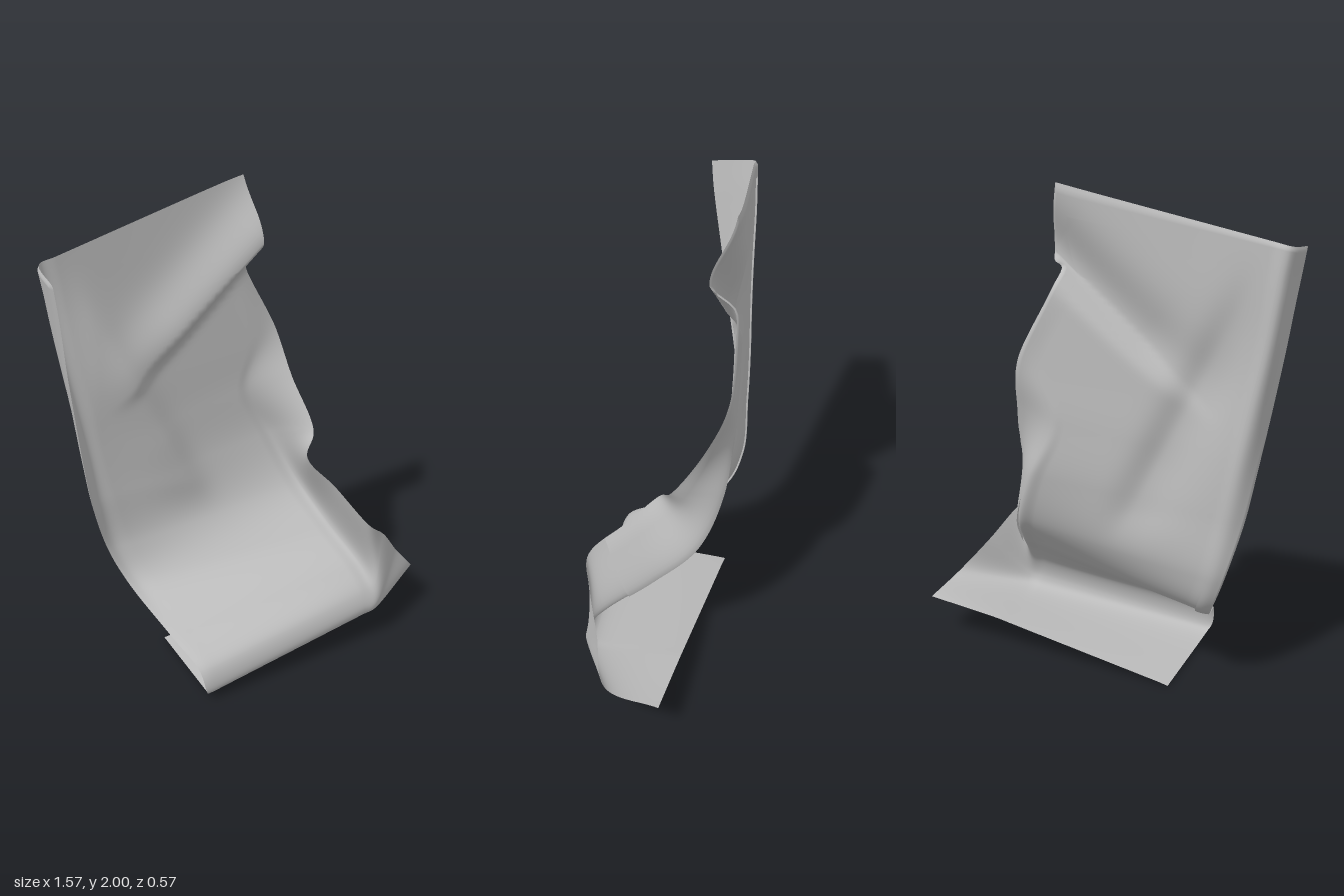
import * as THREE from 'three';

// Guide curves running down the sheet, one point per station.
const guides = {
  leftEdge: [[-.785, 1.78, -.07], [-.77, 1.68, -.08], [-.755, 1.58, -.095], [-.73, 1.4, -.125], [-.69, 1.15, -.165],
    [-.655, .95, -.2], [-.615, .74, -.23], [-.545, .5, -.25], [-.487, .35, -.19], [-.43, .22, .06], [-.402, .15, .24],
    [-.388, .06, .272], [-.37, .03, .25], [-.32, 0, -.22]],
  leftFold: [[-.755, 1.805, -.25], [-.735, 1.7, -.255], [-.72, 1.6, -.258], [-.69, 1.42, -.26], [-.64, 1.17, -.265],
    [-.6, .97, -.27], [-.56, .75, -.27], [-.5, .5, -.265], [-.445, .35, -.195], [-.4, .225, .07], [-.37, .155, .245],
    [-.36, .06, .272], [-.34, .033, .25], [-.28, .008, -.213]],
  rightFold: [[.06, 1.987, -.27], [.09, 1.8, -.27], [.08, 1.705, -.27], [.06, 1.64, -.27], [.2, 1.3, -.27],
    [.15, 1.08, -.27], [.25, .85, -.25], [.332, .63, -.16], [.383, .48, .01], [.43, .35, .19], [.445, .265, .262],
    [.455, .19, .28], [.46, .148, .255], [.46, .143, -.115]],
  rightEdge: [[.12, 2, -.27], [.153, 1.82, -.27], [.152, 1.705, -.27], [.12, 1.67, -.27], [.28, 1.32, -.27],
    [.315, 1.12, -.195], [.34, .91, -.06], [.27, .83, 0], [.33, .73, .12], [.4, .6, .268], [.5, .51, .245],
    [.61, .37, .2], [.74, .22, .15], [.78, .18, -.07]],
};

const smooth = THREE.MathUtils.smoothstep;

// Height of a crease from a to b, with its own falloff width on each side.
function crease(x, y, a, b, heightA, heightB, widthUp, widthDown, openStart) {
  const dx = b[0] - a[0], dy = b[1] - a[1], len = Math.hypot(dx, dy);
  const k = ((x - a[0]) * dx + (y - a[1]) * dy) / (len * len);
  const d = ((x - a[0]) * dy - (y - a[1]) * dx) / len;
  const ends = (openStart ? 1 : smooth(k, -.1, .4)) * (1 - smooth(k, .6, 1.2));
  const w = d > 0 ? widthUp : widthDown;
  const h = THREE.MathUtils.lerp(heightA, heightB, THREE.MathUtils.clamp(k, 0, 1));
  return h * ends * Math.exp(-(d * d) / (w * w));
}

// Grid triangles for the cells that the filter keeps.
function gridIndex(cols, rows, keep) {
  const n = cols + 1, index = [];
  for (let j = 0; j < rows; j++) for (let i = 0; i < cols; i++) {
    const a = j * n + i, b = a + n;
    if (keep(i, j)) index.push(a, b, a + 1, b, b + 1, a + 1);
  }
  return index;
}

function sheetGeometry(cols, rows) {
  const curves = Object.values(guides).map(points =>
    new THREE.CatmullRomCurve3(points.map(p => new THREE.Vector3(...p))));
  const positions = [];
  for (let j = 0; j <= rows; j++) {
    const [le, lf, rf, re] = curves.map(c => c.getPoint(j / rows));
    const across = [.08, .3, .5, .7, .92].map(k => lf.clone().lerp(rf, k));
    const section = new THREE.CatmullRomCurve3([le, lf, ...across, rf, re]);
    for (let i = 0; i <= cols; i++) {
      const p = section.getPoint(i / cols);
      // Dents pressed into the upright panel
      const wall = smooth(p.y, .5, .75) * smooth(p.x, -.75, -.55) * (1 - smooth(p.z, -.25, -.15));
      p.z += wall * (crease(p.x, p.y, [.16, 1.74], [-.42, 1.23], .1, .05, .14, .045, true)
        + crease(p.x, p.y, [-.08, .55], [-.6, 1.6], .04, .045, .08, .15, false));
      positions.push(p.x, p.y, p.z);
    }
  }
  const geometry = new THREE.BufferGeometry();
  geometry.setAttribute('position', new THREE.Float32BufferAttribute(positions, 3));
  geometry.setIndex(gridIndex(cols, rows, () => true));
  geometry.computeVertexNormals();
  return geometry;
}

// Folded-over border lying just behind the top and side edges.
function hemGeometry(sheet, cols, rows) {
  const hem = sheet.clone();
  const { position, normal } = hem.attributes;
  const p = new THREE.Vector3(), n = new THREE.Vector3();
  for (let v = 0; v < position.count; v++) {
    const i = v % (cols + 1), j = Math.floor(v / (cols + 1));
    const lift = .008 * Math.min(1, i / 2, (cols - i) / 2, j / 2);
    p.fromBufferAttribute(position, v).addScaledVector(n.fromBufferAttribute(normal, v), -lift);
    position.setXYZ(v, p.x, p.y, p.z);
  }
  hem.setIndex(gridIndex(cols, rows, (i, j) => j < rows * .65 && (j < 9 || i < 16 || i >= cols - 12)));
  hem.computeVertexNormals();
  return hem;
}

export function createModel() {
  const group = new THREE.Group();
  group.name = 'crumpledPanel';
  const metal = new THREE.MeshStandardMaterial({ color: 0xbcbcbc, side: THREE.DoubleSide });
  metal.name = 'bareGreyMetal';
  const cols = 96, rows = 208;
  const sheet = new THREE.Mesh(sheetGeometry(cols, rows), metal);
  sheet.name = 'bentSheet';
  const hem = new THREE.Mesh(hemGeometry(sheet.geometry, cols, rows), metal);
  hem.name = 'foldedHem';
  group.add(sheet, hem);
  return group;
}
